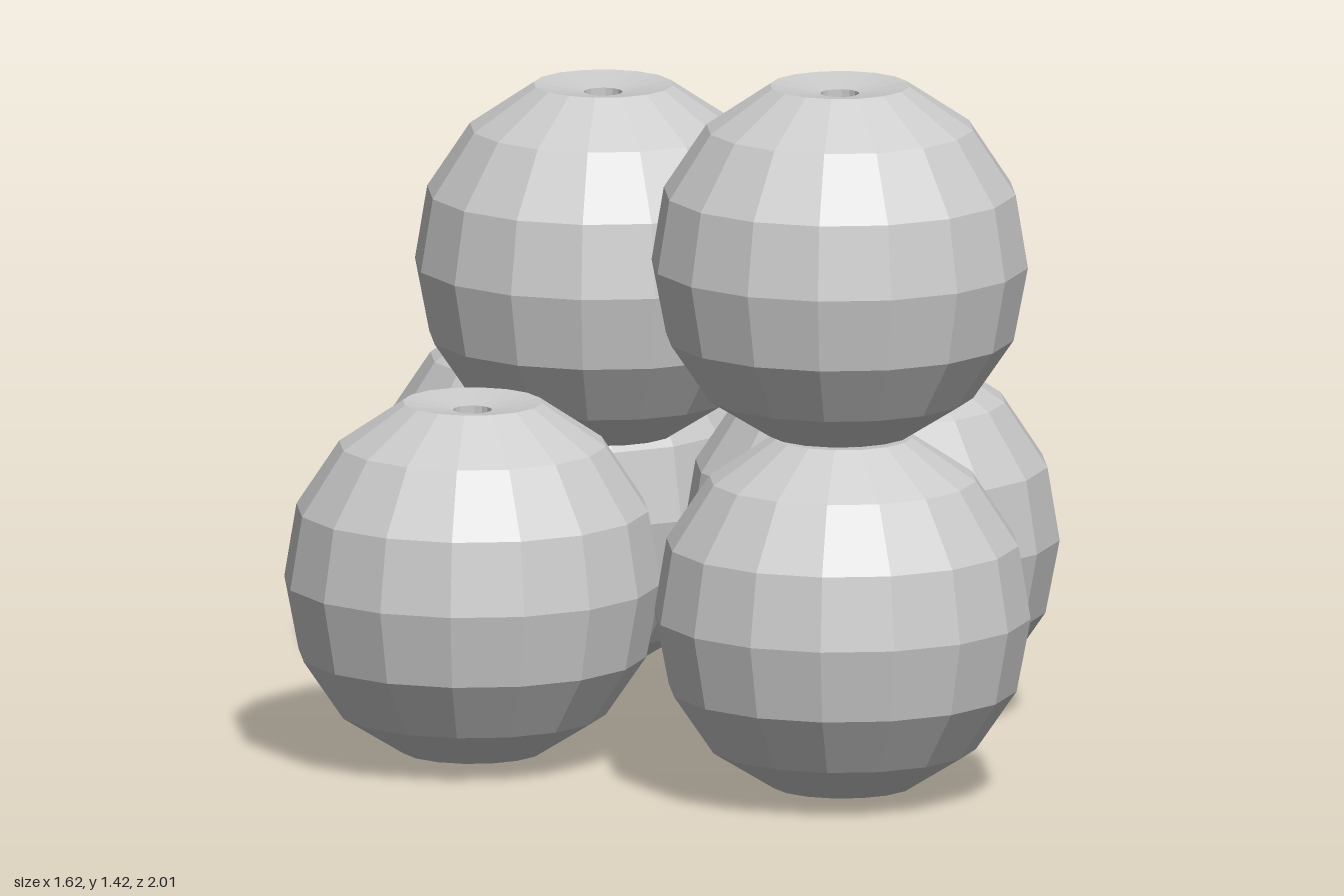
import * as THREE from 'three';

// Half profile of one ball, bottom pole to the dished top with its small recess
const PROFILE = [
  [0, -0.36], [0.14, -0.338], [0.262, -0.262], [0.342, -0.145], [0.37, 0],
  [0.346, 0.145], [0.262, 0.272], [0.137, 0.356], [0.038, 0.34], [0.038, 0.318], [0, 0.318],
];

// Ball centres: four on the ground, two stacked above
const BALLS = [
  ['frontBall', -0.08, 0.36, 0.635],
  ['leftBall', 0.435, 0.36, 0.075],
  ['rightBall', -0.44, 0.36, -0.075],
  ['backBall', 0.23, 0.36, -0.635],
  ['upperFrontBall', -0.087, 1.061, 0.635],
  ['upperBackBall', 0.012, 0.91, -0.235],
];

export function createModel() {
  const group = new THREE.Group();
  group.name = 'ballPile';
  const geometry = new THREE.LatheGeometry(PROFILE.map(([r, y]) => new THREE.Vector2(r, y)), 16);
  const material = new THREE.MeshStandardMaterial({ color: 0xcccccc, flatShading: true });

  for (const [name, x, y, z] of BALLS) {
    const ball = new THREE.Mesh(geometry, material);
    ball.name = name;
    ball.position.set(x, y, z);
    group.add(ball);
  }
  return group;
}
